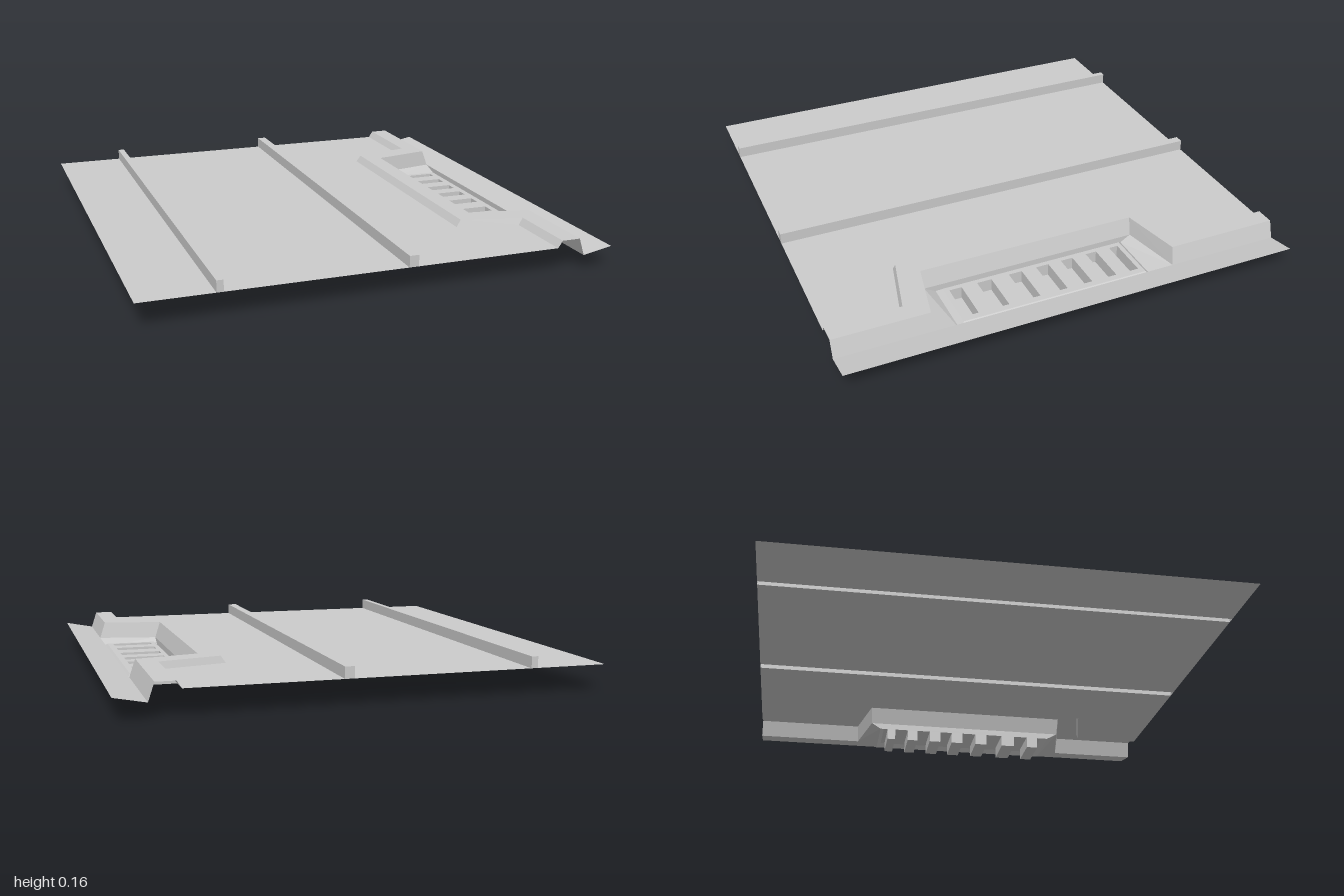
import * as THREE from 'three';

const material = new THREE.MeshStandardMaterial({ color: 0xcccccc, flatShading: true, side: THREE.DoubleSide });

// Skins a surface across rows of [x, y, z] points that all have the same length
function loft(rows) {
  const n = rows[0].length, index = [];
  for (let i = 0; i < rows.length - 1; i++) {
    for (let j = 0; j < n - 1; j++) {
      const a = i * n + j, b = a + n;
      index.push(a, a + 1, b, b, a + 1, b + 1);
    }
  }
  const g = new THREE.BufferGeometry();
  g.setAttribute('position', new THREE.Float32BufferAttribute(rows.flat(2), 3));
  g.setIndex(index);
  g.computeVertexNormals();
  return g;
}

// Closed rectangular loop at height y
const loop = (x0, x1, z0, z1, y) =>
  [[x0, y, z0], [x0, y, z1], [x1, y, z1], [x1, y, z0], [x0, y, z0]];

// Straight line of constant x running from back to front
const line = (x, y, z0 = -1, z1 = 1) => [[x, y, z0], [x, y, z1]];

export function createModel() {
  const model = new THREE.Group();
  const add = (name, geometry, parent = model) => {
    const mesh = new THREE.Mesh(geometry, material);
    mesh.name = name;
    parent.add(mesh);
  };

  const deckY = 0.11, ribY = 0.158, lowY = 0.065, trayY = 0.037, slabY = 0.055;
  const ribs = [[-0.695, -0.667], [0.08, 0.12]];

  // Kerb line that jogs inward around the recess; t goes from outer (0) to inner (1)
  const kerbRow = (x, y, t) => {
    const c = 0.045, far = 0.64 - 0.1 * t, near = 0.575 - 0.09 * t, inX = x - 0.267;
    return [[x, y, -1], [x, y, c - far], [inX, y, c - near],
      [inX, y, c + near], [x, y, c + far], [x, y, 1]];
  };
  const outer = kerbRow(0.745, deckY, 0);

  // Deck panels between the ribs
  add('deckLeftPanel', loft([line(-1, deckY), line(ribs[0][0], deckY)]));
  add('deckMiddlePanel', loft([line(ribs[0][1], deckY), line(ribs[1][0], deckY)]));
  add('deckKerbPanel', loft([outer.map(([, y, z]) => [ribs[1][1], y, z]), outer]));

  // Hollow raised ribs with closed ends
  for (const [x0, x1] of ribs) {
    const rib = new THREE.Group();
    rib.name = 'rib';
    model.add(rib);
    add('ribShell', loft([line(x0, deckY), line(x0, ribY), line(x1, ribY), line(x1, deckY)]), rib);
    for (const z of [-1, 1]) {
      const ends = [[[x0, deckY, z], [x1, deckY, z]], [[x0, ribY, z], [x1, ribY, z]]];
      add('ribEnd', loft(z > 0 ? ends : ends.reverse()), rib);
    }
  }

  // Kerb and the sloping edge strip beside it
  add('kerb', loft([outer, kerbRow(0.765, 0.14, 0.05),
    kerbRow(0.845, 0.14, 0.94), kerbRow(0.87, lowY, 1)]));
  add('edgeStrip', loft([line(0.87, lowY), line(1, 0.09)]));

  // Recess: sunken side walls and end ramps
  const x0 = 0.603, x1 = 0.87, z0 = -0.395, z1 = 0.48;
  add('recessInnerWall', loft([line(x0, lowY, -0.44, 0.53), line(x0, trayY, z0, z1)]));
  add('recessOuterWall', loft([line(x1, trayY, z0, z1), line(x1, lowY, -0.495, 0.585)]));
  add('backRamp', loft([[[x0, lowY, -0.44], [x0, trayY, z0]], [[x1, lowY, -0.495], [x1, trayY, z0]]]));
  add('frontRamp', loft([[[x0, trayY, z1], [x0, lowY, 0.53]], [[x1, trayY, z1], [x1, lowY, 0.585]]]));

  // Raised grate slab with bevelled sides and seven slots
  const s = [0.622, 0.85, -0.375, 0.455];
  const grate = new THREE.Group();
  grate.name = 'grate';
  model.add(grate);
  add('grateBevel', loft([loop(x0, x1, z0, z1, trayY), loop(...s, slabY)]), grate);

  const rect = (a, b, c, d) => [[a, c], [b, c], [b, d], [a, d]].map(([x, z]) => new THREE.Vector2(x, -z));
  const top = new THREE.Shape(rect(...s));
  const slots = [[-0.355, -0.315], [-0.25, -0.2], [-0.135, -0.08], [-0.02, 0.038],
    [0.105, 0.165], [0.245, 0.31], [0.38, 0.435]];
  for (const [a, b] of slots) {
    top.holes.push(new THREE.Path(rect(0.643, 0.823, a, b)));
    // Slot pocket hanging below the slab
    add('slotWalls', loft([loop(0.643, 0.823, a, b, 0), loop(0.643, 0.823, a, b, slabY)]), grate);
    add('slotFloor', loft([line(0.643, 0, a, b), line(0.823, 0, a, b)]), grate);
  }
  add('grateTop', new THREE.ShapeGeometry(top).rotateX(-Math.PI / 2).translate(0, slabY, 0), grate);

  return model;
}
